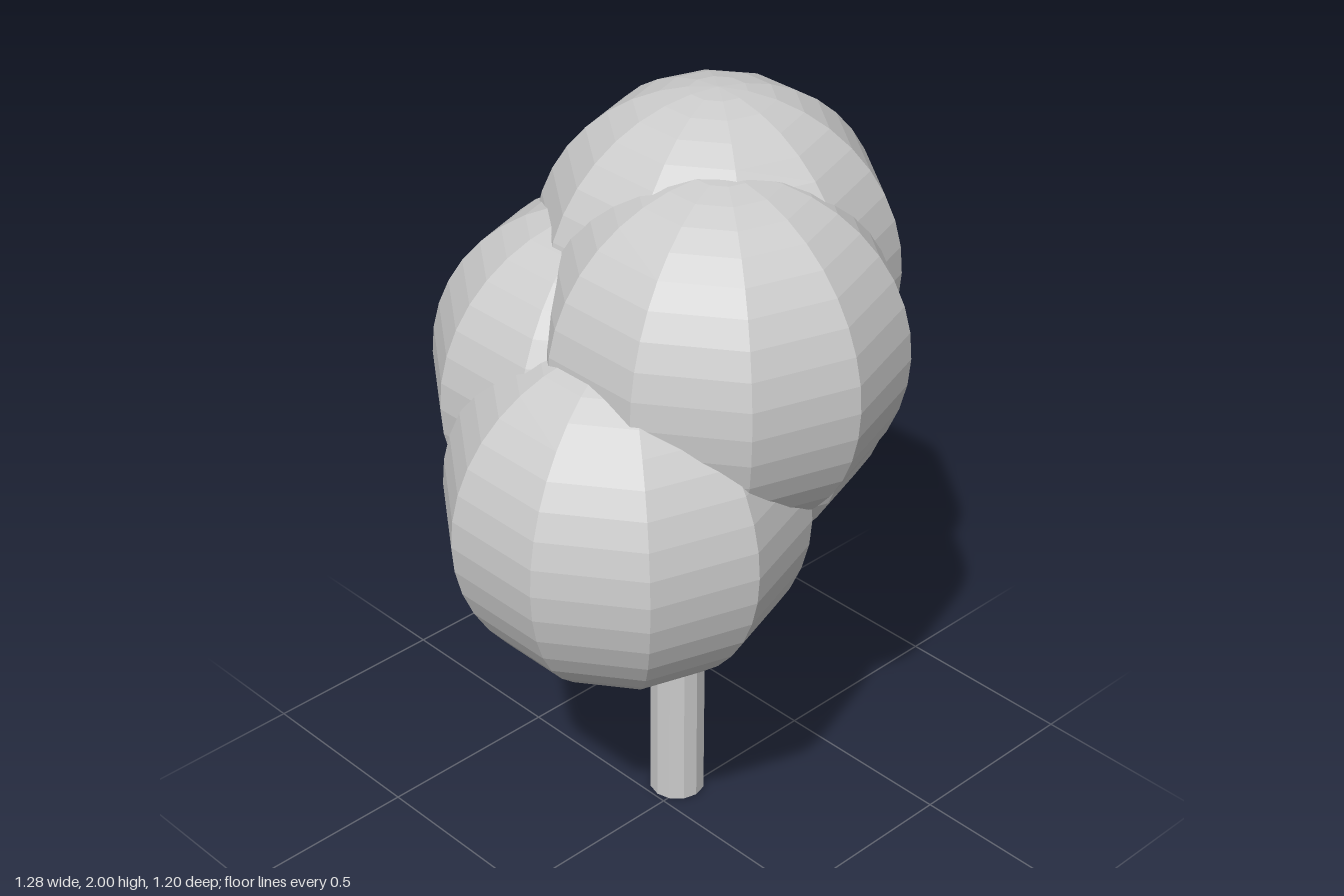
import * as THREE from 'three';

export function createModel() {
  const tree = new THREE.Group();
  tree.name = 'tree';
  const material = new THREE.MeshStandardMaterial({ color: 0xcccccc, flatShading: true });

  // Trunk, running up into the foliage
  const trunkHeight = 1.2;
  const trunk = new THREE.Mesh(new THREE.CylinderGeometry(0.073, 0.073, trunkHeight, 12), material);
  trunk.name = 'trunk';
  trunk.position.set(0.082, trunkHeight / 2, -0.033);
  tree.add(trunk);

  // Foliage: overlapping ten-sided balls with a corner facing front and back
  const ball = new THREE.SphereGeometry(0.446, 10, 20, Math.PI / 2);
  const clumps = {
    foliageTop: [0.195, 1.554, -0.022],
    foliageFront: [0.04, 1.455, 0.154],
    foliageBack: [-0.027, 1.28, -0.158],
    foliageLowerLeft: [0.215, 1.22, -0.045],
    foliageLowerRight: [-0.22, 1.1, 0.1],
  };
  for (const [name, position] of Object.entries(clumps)) {
    const clump = new THREE.Mesh(ball, material);
    clump.name = name;
    clump.position.set(...position);
    tree.add(clump);
  }
  return tree;
}
